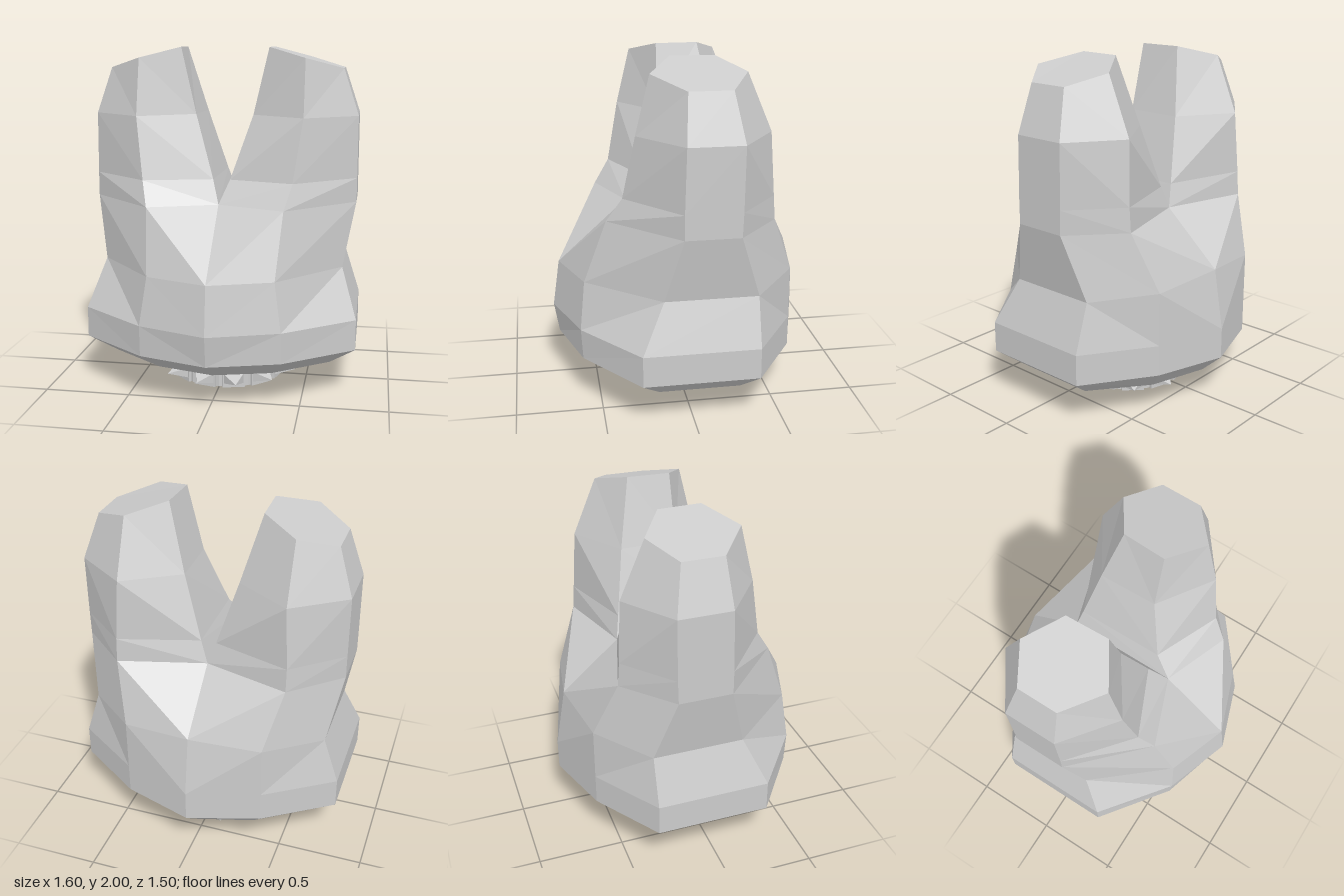
import * as THREE from 'three';

// Half cross-sections (x >= 0), bottom to top. Each runs:
// centre front, front, outer front, outer back, back, centre back.
const trunk = [
  [[0, 0.11, 0.2], [0.14, 0.11, 0.17], [0.27, 0.11, 0.07], [0.27, 0.11, -0.14], [0.15, 0.11, -0.26], [0, 0.11, -0.3]],
  [[0, 0.16, 0.52], [0.33, 0.16, 0.43], [0.65, 0.16, 0.19], [0.65, 0.16, -0.28], [0.34, 0.16, -0.52], [0, 0.16, -0.62]],
  [[0, 0.28, 0.72], [0.4, 0.28, 0.6], [0.8, 0.28, 0.3], [0.8, 0.28, -0.36], [0.41, 0.28, -0.62], [0, 0.28, -0.75]],
  [[0, 0.46, 0.75], [0.4, 0.46, 0.61], [0.8, 0.46, 0.3], [0.8, 0.46, -0.36], [0.41, 0.46, -0.62], [0, 0.46, -0.75]],
  [[0, 0.74, 0.71], [0.36, 0.74, 0.58], [0.71, 0.74, 0.17], [0.71, 0.74, -0.36], [0.41, 0.77, -0.62], [0, 0.81, -0.69]],
];
// The same six corners close into a hexagon once the two prongs part.
const prong = [
  [[0, 1.11, 0.3], [0.39, 1.11, 0.45], [0.78, 1.11, 0.07], [0.78, 1.11, -0.24], [0.5, 1.11, -0.49], [0, 1.11, -0.35]],
  [[0.05, 1.24, 0.19], [0.43, 1.25, 0.36], [0.78, 1.25, 0.07], [0.78, 1.25, -0.245], [0.5, 1.25, -0.48], [0.045, 1.24, -0.325]],
  [[0.17, 1.61, 0.08], [0.48, 1.61, 0.29], [0.78, 1.61, 0.06], [0.78, 1.61, -0.25], [0.48, 1.61, -0.46], [0.16, 1.61, -0.26]],
  [[0.26, 2, 0.07], [0.48, 1.94, 0.21], [0.69, 1.88, 0.04], [0.69, 1.88, -0.2], [0.48, 1.94, -0.32], [0.27, 2, -0.18]],
];

// Skins a stack of sections into triangles; closed wraps the last corner to the first
function skin(rings, closed) {
  const tris = [];
  for (let i = 0; i + 1 < rings.length; i++) {
    for (let j = 0; j < (closed ? 6 : 5); j++) {
      const k = (j + 1) % 6;
      const a = rings[i][j], b = rings[i][k], c = rings[i + 1][k], d = rings[i + 1][j];
      if (j < 3) tris.push([a, b, c], [a, c, d]);
      else tris.push([a, b, d], [b, c, d]);
    }
  }
  return tris;
}

// Fan over one section, facing up or down
function cap(ring, up) {
  const tris = [];
  for (let j = 1; j < 5; j++) {
    tris.push(up ? [ring[0], ring[j], ring[j + 1]] : [ring[0], ring[j + 1], ring[j]]);
  }
  return tris;
}

const mirror = (tris) => tris.map(([a, b, c]) => [a, c, b].map(([x, y, z]) => [-x, y, z]));

function toGeometry(tris) {
  const g = new THREE.BufferGeometry();
  g.setAttribute('position', new THREE.Float32BufferAttribute(tris.flat(2), 3));
  g.computeVertexNormals();
  return g;
}

export function createModel() {
  const model = new THREE.Group();
  const grey = new THREE.MeshStandardMaterial({ color: 0xcccccc, flatShading: true });
  const add = (parent, name, geometry) => {
    const mesh = new THREE.Mesh(geometry, grey);
    mesh.name = name;
    parent.add(mesh);
    return mesh;
  };

  // Rounded lower body, up to the fork
  const half = [...cap(trunk[0], false), ...skin([...trunk, prong[0]], false)];
  add(model, 'body', toGeometry([...half, ...mirror(half)]));

  // Two upright prongs with slanted tops
  const upright = [...skin(prong, true), ...cap(prong[prong.length - 1], true)];
  add(model, 'leftProng', toGeometry(upright));
  add(model, 'rightProng', toGeometry(mirror(upright)));

  // Studded collar under the body
  const collar = new THREE.Group();
  collar.name = 'collar';
  collar.position.set(0, 0.055, -0.045);
  model.add(collar);
  const count = 12;
  add(collar, 'band', new THREE.CylinderGeometry(0.335, 0.335, 0.106, count));

  // Each stud is a flat plate carrying a four-sided spike
  const plate = new THREE.BoxGeometry(0.135, 0.11, 0.03).translate(0, 0, 0.326);
  const spike = new THREE.ConeGeometry(Math.SQRT1_2, 0.11, 4)
    .rotateY(Math.PI / 4)
    .rotateX(Math.PI / 2)
    .scale(0.12, 0.06, 1)
    .translate(0, 0, 0.395);
  for (let i = 0; i < count; i++) {
    const stud = new THREE.Group();
    stud.name = 'stud';
    stud.rotation.y = ((i + 0.5) / count) * Math.PI * 2;
    add(stud, 'plate', plate);
    add(stud, 'spike', spike);
    collar.add(stud);
  }
  return model;
}
